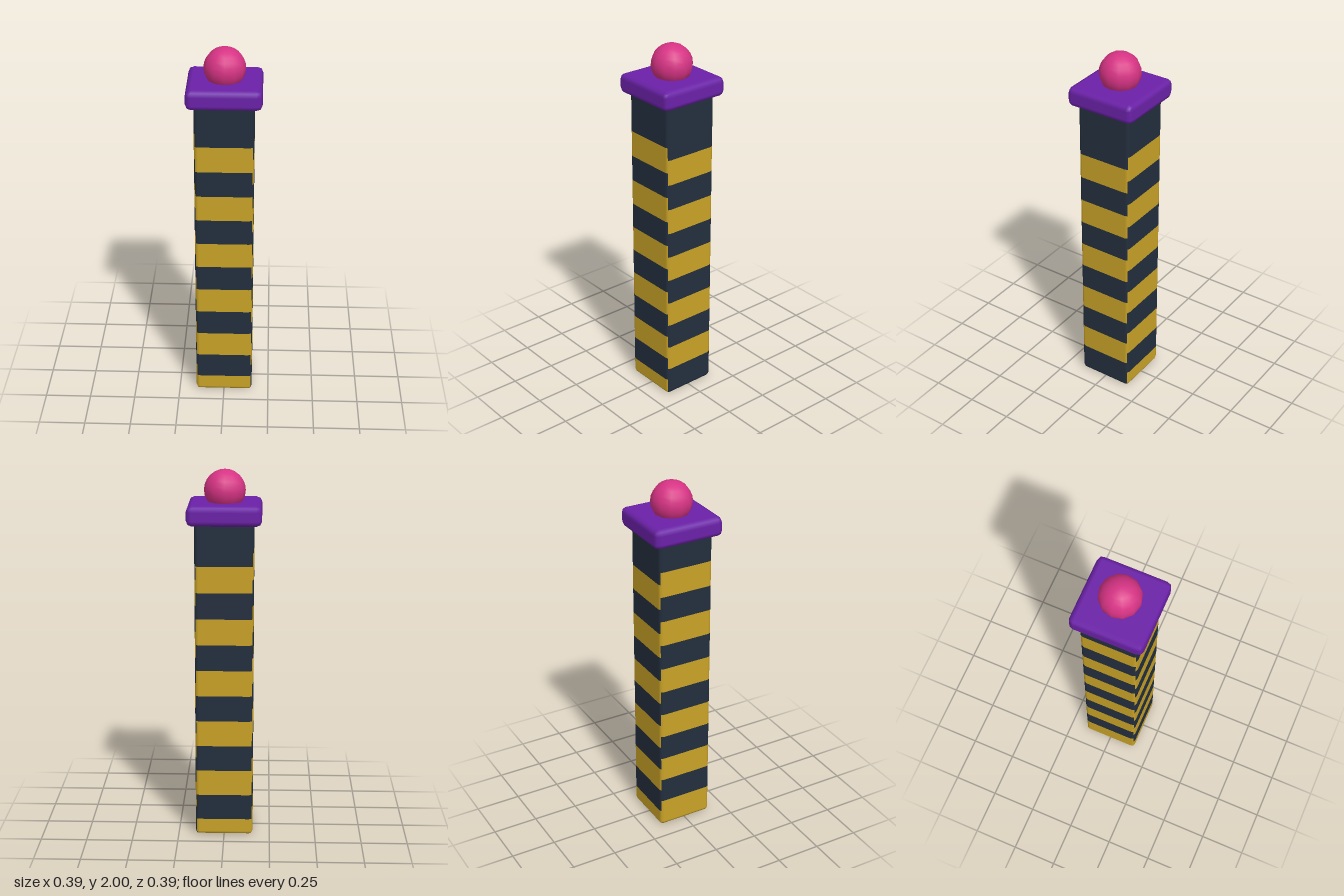
import * as THREE from 'three';
import { RoundedBoxGeometry } from 'three/addons/geometries/RoundedBoxGeometry.js';

const material = (name, color) => {
  const m = new THREE.MeshStandardMaterial({ color });
  m.name = name;
  return m;
};

// Bevelled square column; each side is striped, a quarter period apart from its neighbours
function columnGeometry(half, height, bevel, firstEdge, step, edges) {
  const core = half - bevel, q = Math.PI / 4, top = height - bevel;
  // Levels: [y, core scale, bevel angle]
  const levels = [[0, 0, 2 * q], [0, 1, 2 * q], [bevel * (1 - Math.sin(q)), 1, q], [bevel, 1, 0]];
  for (let j = 0; j < edges; j++) levels.push([firstEdge + j * step, 1, 0]);
  levels.push([top, 1, 0], [top + bevel * Math.sin(q), 1, -q], [height, 1, -2 * q], [height, 0, -2 * q]);
  const columns = [[-1, -q], [-1, 0], [1, 0], [1, q]];
  const position = [], normal = [], dark = [], yellow = [];

  [1, 2, 1, 0].forEach((shift, side) => {   // front, left, back, right
    const c = Math.cos(side * 2 * q), s = Math.sin(side * 2 * q);
    const base = position.length / 3;
    for (const [y, k, b] of levels) {
      for (const [sign, a] of columns) {
        const nu = Math.sin(a) * Math.cos(b), no = Math.cos(a) * Math.cos(b);
        const u = sign * core * k + bevel * nu, out = core * k + bevel * no;
        position.push(u * c + out * s, y, -u * s + out * c);
        normal.push(nu * c + no * s, -Math.sin(b), -nu * s + no * c);
      }
    }
    for (let l = 0; l < levels.length - 1; l++) {
      const band = l - 3;
      const painted = l < 2 ||
        (band <= 21 && Math.floor((Math.max(band, 0) + shift) / 2) % 2 === 0);
      for (let i = 0; i < 3; i++) {
        const p = base + l * 4 + i;
        (painted ? yellow : dark).push(p, p + 1, p + 5, p, p + 5, p + 4);
      }
    }
  });

  const g = new THREE.BufferGeometry();
  g.setAttribute('position', new THREE.Float32BufferAttribute(position, 3));
  g.setAttribute('normal', new THREE.Float32BufferAttribute(normal, 3));
  g.setIndex([...dark, ...yellow]);
  g.addGroup(0, dark.length, 0);
  g.addGroup(dark.length, yellow.length, 1);
  return g;
}

export function createModel() {
  const slate = material('slate', 0x232f3e);
  const gold = material('gold', 0xc9a227);
  const purple = material('purple', 0x6b21a8);
  const pink = material('pink', 0xd63384);
  const model = new THREE.Group();
  model.name = 'stripedPost';

  const add = (name, geometry, mat, y = 0) => {
    const mesh = new THREE.Mesh(geometry, mat);
    mesh.name = name;
    mesh.position.y = y;
    model.add(mesh);
  };

  add('stripedColumn', columnGeometry(0.156, 1.74, 0.02, 0.092, 0.0709, 22), [slate, gold]);
  add('capPlate', new RoundedBoxGeometry(0.394, 0.106, 0.394, 1, 0.03), purple, 1.777);
  add('topBall', new THREE.SphereGeometry(0.11, 12, 12), pink, 1.89);
  return model;
}
